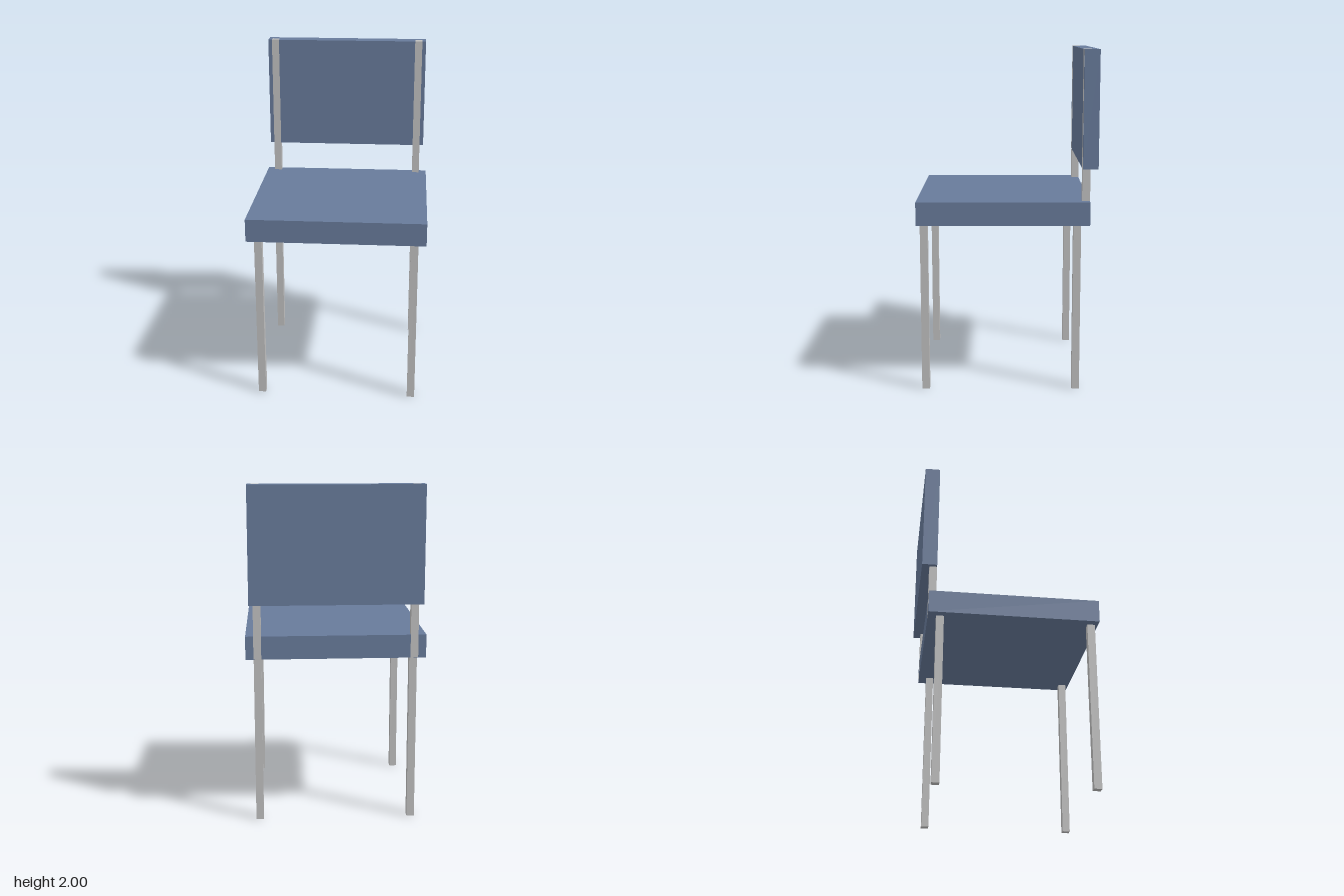
import * as THREE from 'three';

export function createModel() {
  const model = new THREE.Group();
  model.name = 'chair';

  const blue = new THREE.MeshStandardMaterial({ color: 0x687b9b });
  blue.name = 'blue upholstery';
  const grey = new THREE.MeshStandardMaterial({ color: 0xc0c0c0 });
  grey.name = 'grey metal';

  // Box given by its extents along each axis
  function addBox(name, material, [x0, x1], [y0, y1], [z0, z1]) {
    const mesh = new THREE.Mesh(new THREE.BoxGeometry(x1 - x0, y1 - y0, z1 - z0), material);
    mesh.position.set((x0 + x1) / 2, (y0 + y1) / 2, (z0 + z1) / 2);
    mesh.name = name;
    model.add(mesh);
  }

  // Cushions
  addBox('seat', blue, [-0.523, 0.523], [1.0, 1.136], [-0.478, 0.523]);
  addBox('backrest', blue, [-0.5, 0.5], [1.322, 1.999], [-0.523, -0.434]);

  // Square legs and back posts, mirrored left and right
  const inner = 0.432, outer = 0.477, thickness = outer - inner;
  for (const [side, label] of [[1, 'left'], [-1, 'right']]) {
    const x = side > 0 ? [inner, outer] : [-outer, -inner];
    addBox(label + 'FrontLeg', grey, x, [0, 1.0], [0.459, 0.459 + thickness]);
    addBox(label + 'BackLeg', grey, x, [0, 1.0], [-0.43, -0.43 + thickness]);
    // Posts run through the cushions, a hair proud of their faces
    addBox(label + 'BackPost', grey, x, [1.002, 2.0], [-0.479, -0.433]);
  }

  return model;
}
